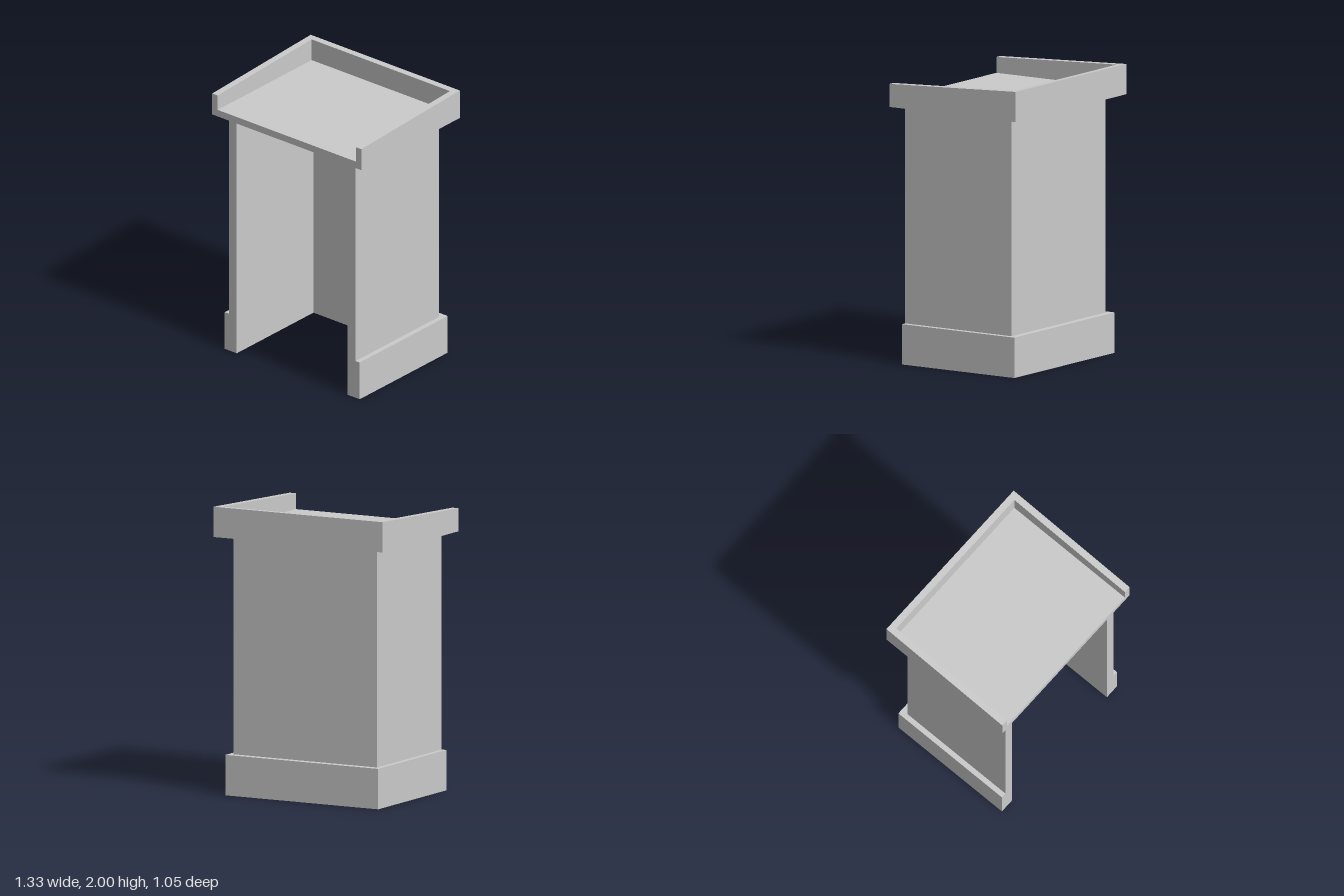
import * as THREE from 'three';

const material = new THREE.MeshStandardMaterial({ color: 0xcccccc });

// Three-sided wall, open towards +z, seen from above as a U.
function uWall(name, { outerX, innerX, outerBack, innerBack, front, bottom, top }) {
  const outline = [
    [-outerX, front], [-innerX, front], [-innerX, innerBack], [innerX, innerBack],
    [innerX, front], [outerX, front], [outerX, outerBack], [-outerX, outerBack],
  ].map(([x, z]) => new THREE.Vector2(x, -z));
  const geometry = new THREE.ExtrudeGeometry(new THREE.Shape(outline), {
    depth: top - bottom, bevelEnabled: false,
  });
  geometry.rotateX(-Math.PI / 2).translate(0, bottom, 0);
  const mesh = new THREE.Mesh(geometry, material);
  mesh.name = name;
  return mesh;
}

export function createModel() {
  const group = new THREE.Group();
  group.name = 'lectern';

  // Hollow body, open at the front
  group.add(uWall('body', {
    outerX: 0.565, innerX: 0.495, outerBack: -0.42, innerBack: -0.35,
    front: 0.465, bottom: 0, top: 1.79,
  }));

  // Plinth band around the foot of the body
  group.add(uWall('plinth', {
    outerX: 0.602, innerX: 0.565, outerBack: -0.47, innerBack: -0.42,
    front: 0.465, bottom: 0, top: 0.28,
  }));

  // Flat reading surface
  const desk = new THREE.Mesh(new THREE.BoxGeometry(1.33, 0.05, 1.046), material);
  desk.name = 'deskTop';
  desk.position.y = 1.815;
  group.add(desk);

  // Rim around the desk, its top edge falling towards the front
  const rim = uWall('deskRim', {
    outerX: 0.665, innerX: 0.617, outerBack: -0.523, innerBack: -0.476,
    front: 0.523, bottom: 1.84, top: 2,
  });
  const p = rim.geometry.attributes.position;
  for (let i = 0; i < p.count; i++) {
    if (p.getY(i) > 1.9) p.setY(i, 2 - 0.05 * (p.getZ(i) + 0.523) / 1.046);
  }
  rim.geometry.computeVertexNormals();
  group.add(rim);

  return group;
}
